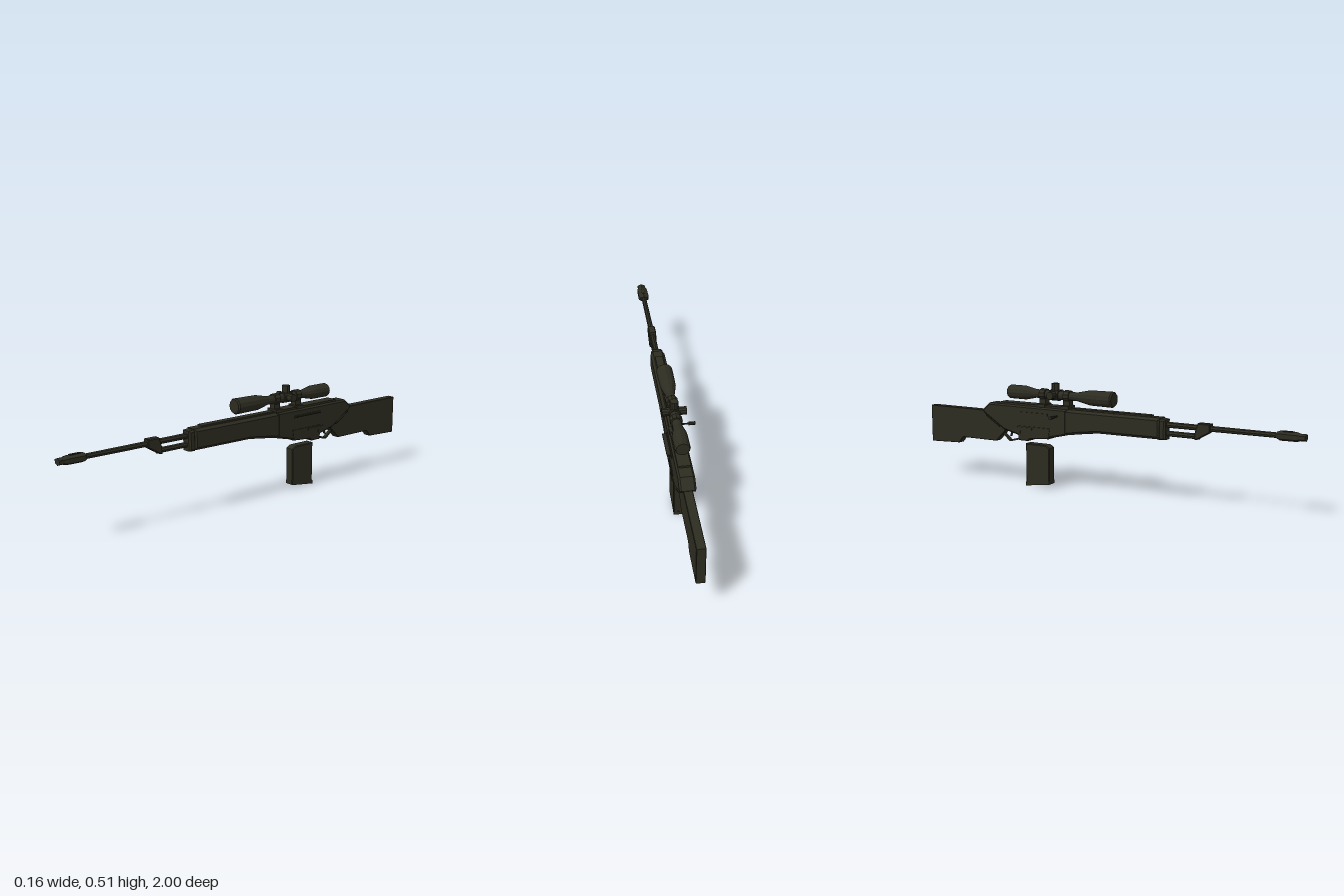
import * as THREE from 'three';

const CX = 0.02; // the body sits slightly to the model's left
const metal = new THREE.MeshStandardMaterial({ color: 0x2d2c21, flatShading: true });
metal.name = 'dark olive metal';

export function createModel() {
  const model = new THREE.Group();
  model.name = 'rifle';

  function add(name, geometry, x = CX, y = 0, z = 0) {
    const mesh = new THREE.Mesh(geometry, metal);
    mesh.name = name;
    mesh.position.set(x, y, z);
    model.add(mesh);
    return mesh;
  }

  // side outline given as [z, y] points, extruded across x with chamfered edges
  function slab(name, points, width, bevel = 0.004, x = CX) {
    const shape = new THREE.Shape(points.map(([z, y]) => new THREE.Vector2(z, y)));
    const g = new THREE.ExtrudeGeometry(shape, {
      depth: width - 2 * bevel, bevelEnabled: bevel > 0, bevelSegments: 1,
      bevelSize: bevel, bevelThickness: bevel, bevelOffset: -bevel,
    });
    g.translate(0, 0, -(width - 2 * bevel) / 2);
    g.rotateY(-Math.PI / 2);
    return add(name, g, x);
  }

  // turned part along z, profile given as [z, radius] from back to front
  function turned(name, profile, y, sides = 10, x = CX) {
    const pts = [[profile[0][0], 0], ...profile, [profile[profile.length - 1][0], 0]];
    const g = new THREE.LatheGeometry(pts.map(([z, r]) => new THREE.Vector2(r, z)), sides);
    g.rotateX(Math.PI / 2);
    return add(name, g, x, y);
  }

  function box(name, w, h, d, x, y, z) {
    return add(name, new THREE.BoxGeometry(w, h, d), x, y, z);
  }

  // square bar between two [z, y] points
  function bar(name, a, b, width, thick) {
    const dz = b[0] - a[0], dy = b[1] - a[1];
    const m = box(name, width, thick, Math.hypot(dz, dy), CX, (a[1] + b[1]) / 2, (a[0] + b[0]) / 2);
    m.rotation.x = -Math.atan2(dy, dz);
  }

  // barrel and muzzle
  turned('barrel', [[0.3, 0.014], [0.93, 0.012]], 0.366, 8);
  const brake = turned('muzzleBrake', [[0.87, 0.015], [0.885, 0.022], [0.96, 0.021], [0.975, 0.016], [1, 0.016]], 0.366, 6);
  brake.scale.x = 1.35;
  box('muzzleSlot', 0.014, 0.006, 0.05, CX, 0.385, 0.92);

  // gas block and tube under the barrel
  slab('gasBlock', [[0.565, 0.388], [0.565, 0.35], [0.5, 0.312], [0.49, 0.312], [0.49, 0.34], [0.505, 0.388]], 0.036, 0.004);
  turned('gasTube', [[0.31, 0.013], [0.51, 0.013]], 0.326, 8);

  // handguard
  slab('handguard', [[0.325, 0.397], [0.325, 0.299], [0.0, 0.297], [-0.1, 0.284], [-0.21, 0.267], [-0.21, 0.397]], 0.068, 0.012);
  slab('handguardCap', [[0.35, 0.39], [0.35, 0.298], [0.315, 0.295], [0.315, 0.395]], 0.056, 0.008);
  box('topCover', 0.036, 0.012, 0.46, CX, 0.398, 0.04);

  // receiver
  slab('receiver', [[-0.17, 0.397], [-0.17, 0.273], [-0.27, 0.25], [-0.45, 0.25], [-0.535, 0.27],
    [-0.55, 0.28], [-0.655, 0.345], [-0.665, 0.36], [-0.62, 0.398]], 0.072, 0.008);
  slab('magazineWell', [[-0.26, 0.3], [-0.27, 0.246], [-0.38, 0.238], [-0.39, 0.226], [-0.445, 0.226], [-0.455, 0.3]], 0.074, 0.003);
  box('receiverRail', 0.056, 0.014, 0.38, CX, 0.4, -0.37);
  for (const s of [-1, 1]) {
    box('sideRib', 0.006, 0.012, 0.17, CX + s * 0.037, 0.362, -0.36);
    box('lowerRib', 0.006, 0.01, 0.11, CX + s * 0.037, 0.287, -0.42);
    box('pin', 0.008, 0.014, 0.014, CX + s * 0.037, 0.267, -0.44);
    bar('cheekSeam', [-0.64, 0.335], [-0.56, 0.285], 0.074, 0.004);
  }
  const flap = box('portCover', 0.027, 0.004, 0.15, 0.064, 0.362, -0.355);
  flap.rotation.z = 0.25;

  // charging handle on the right side
  const handle = (name, r, len, x) => {
    const g = new THREE.CylinderGeometry(r, r, len, 8);
    g.rotateZ(Math.PI / 2);
    add(name, g, x, 0.362, -0.22);
  };
  handle('boltRod', 0.004, 0.055, -0.028);
  handle('boltKnob', 0.008, 0.03, -0.065);

  // shoulder stock
  slab('stock', [[-0.53, 0.3], [-0.53, 0.268], [-0.592, 0.206], [-0.8, 0.206], [-0.826, 0.175],
    [-1, 0.168], [-1, 0.356], [-0.64, 0.356], [-0.6, 0.36]], 0.04, 0.002);

  // trigger and guard
  const guard = [[-0.44, 0.232], [-0.515, 0.213], [-0.575, 0.262]];
  for (let i = 0; i < 2; i++) bar('triggerGuard', guard[i], guard[i + 1], 0.018, 0.008);
  bar('trigger', [-0.505, 0.262], [-0.515, 0.235], 0.008, 0.008);

  // detached magazine
  slab('magazine', [[-0.275, 0.198], [-0.277, 0.02], [-0.412, 0.002], [-0.412, 0.211], [-0.295, 0.211]], 0.047, 0.004);
  slab('magazineBase', [[-0.277, 0.036], [-0.278, 0.018], [-0.413, 0], [-0.413, 0.018]], 0.047, 0);

  // scope
  const SY = 0.458;
  turned('scope', [[-0.515, 0.03], [-0.508, 0.034], [-0.42, 0.034], [-0.36, 0.021], [-0.125, 0.021],
    [-0.055, 0.036], [0.065, 0.038], [0.072, 0.033]], SY, 12);
  for (const z of [-0.18, -0.315]) {
    turned('scopeRing', [[z - 0.015, 0.028], [z + 0.015, 0.028]], SY, 10);
    box('ringFoot', 0.034, 0.04, 0.034, CX, 0.422, z);
    box('ringClamp', 0.062, 0.016, 0.04, CX, 0.405, z);
  }
  turned('turretHub', [[-0.275, 0.027], [-0.225, 0.027]], SY, 10);
  const drum = new THREE.CylinderGeometry(0.019, 0.019, 0.04, 10);
  add('topTurret', drum, CX, 0.495, -0.25);
  const cross = new THREE.CylinderGeometry(0.019, 0.019, 0.11, 10);
  cross.rotateZ(Math.PI / 2);
  add('sideTurrets', cross, CX, SY + 0.002, -0.25);

  return model;
}
